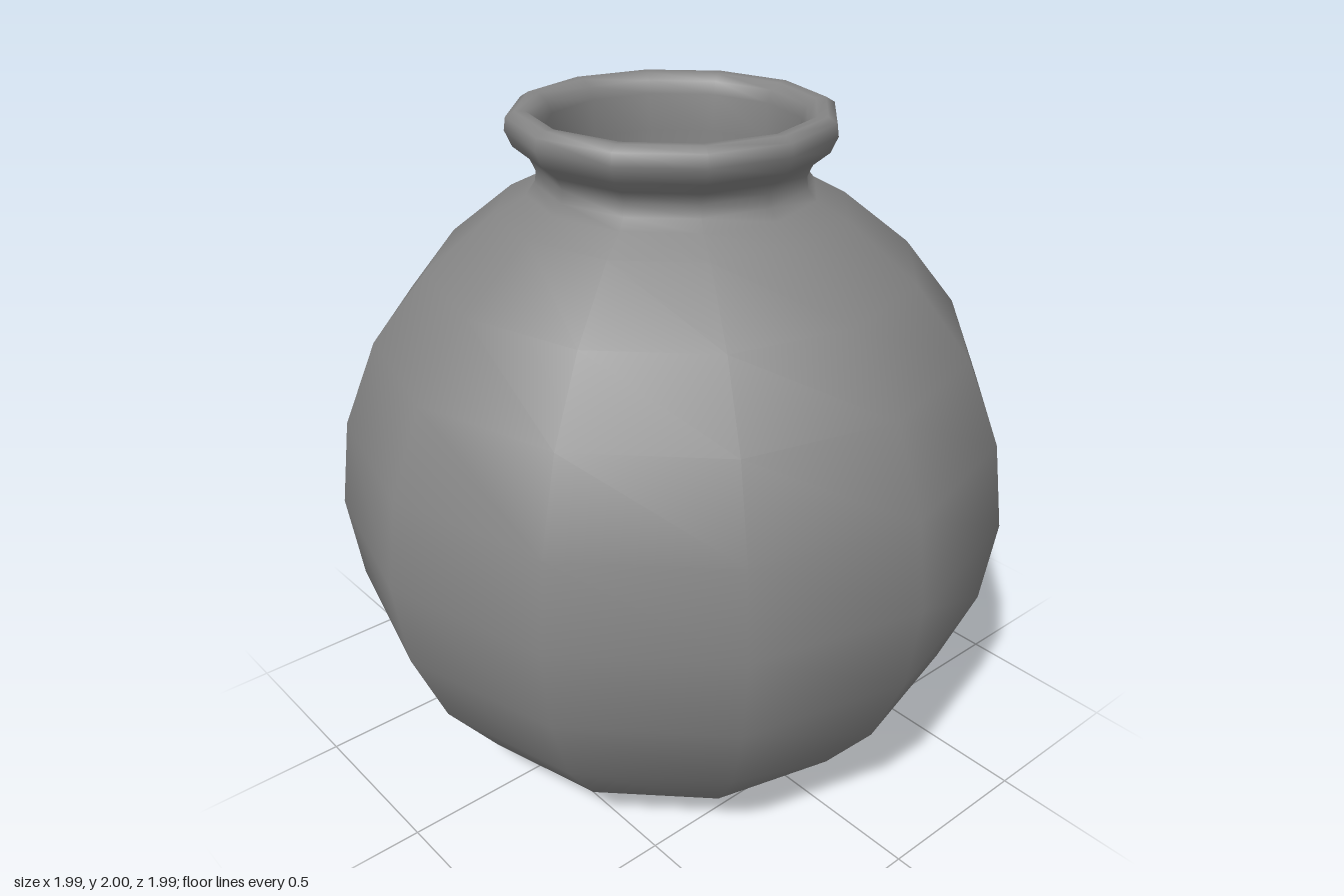
import * as THREE from 'three';

const SIDES = 12;

// Turns a list of [radius, height] pairs around the y axis
function turned(name, profile, material) {
  const points = profile.map(([r, y]) => new THREE.Vector2(r, y));
  const mesh = new THREE.Mesh(new THREE.LatheGeometry(points, SIDES), material);
  mesh.name = name;
  return mesh;
}

export function createModel() {
  const group = new THREE.Group();
  group.name = 'pot';
  const material = new THREE.MeshStandardMaterial({ color: 0x868686 });

  // Flat foot and round belly
  const belly = [
    [0, 0], [0.4, 0.003], [0.5, 0.02], [0.59, 0.07], [0.7, 0.165], [0.86, 0.37], [0.96, 0.61],
    [0.995, 0.865], [0.96, 1.12], [0.86, 1.365], [0.7, 1.565], [0.5, 1.725],
  ];
  // Pinched neck and rolled rim
  const rim = [
    [0.41, 1.77], [0.385, 1.8], [0.38, 1.835], [0.395, 1.868], [0.44, 1.905], [0.46, 1.95],
    [0.455, 1.985], [0.43, 2], [0.4, 1.998], [0.375, 1.98], [0.36, 1.945],
  ];
  // Straight well down to the floor
  const well = [[0.355, 1.84], [0.355, 0.06], [0, 0.06]];

  group.add(turned('potShell', [...belly, ...rim, ...well], material));
  return group;
}
